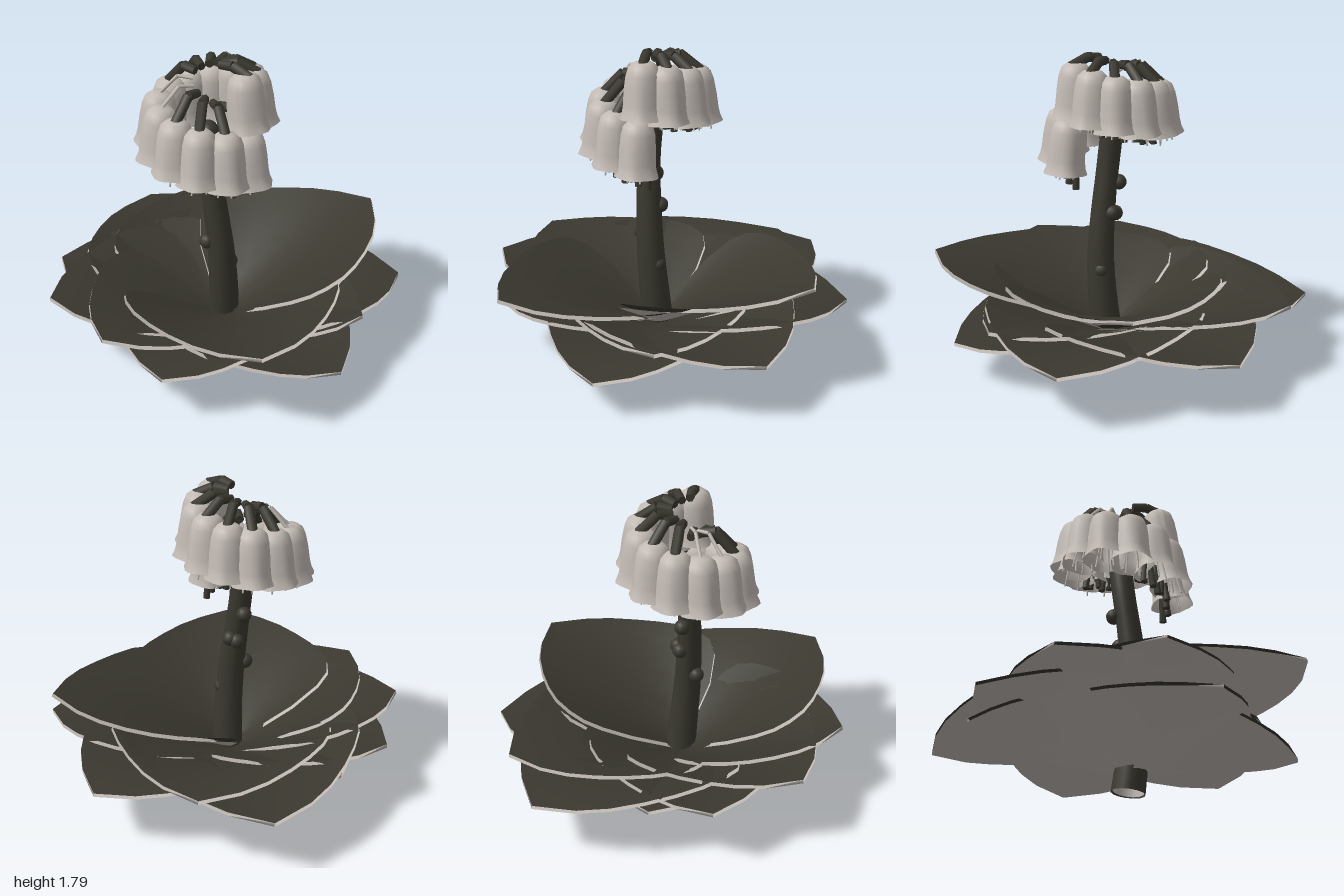
import * as THREE from 'three';

const dark = new THREE.MeshStandardMaterial({ color: 0x3a382f, side: THREE.DoubleSide });
dark.name = 'dark foliage';
const pale = new THREE.MeshStandardMaterial({ color: 0xc2bab4, side: THREE.DoubleSide });
pale.name = 'pale petal';

const V = (x, y, z) => new THREE.Vector3(x, y, z);

function add(parent, name, geometry, material, position) {
  const mesh = new THREE.Mesh(geometry, material);
  mesh.name = name;
  if (position) mesh.position.copy(position);
  parent.add(mesh);
  return mesh;
}

// straight rod between two points
function rod(parent, name, a, b, r0, r1, material, sides = 7) {
  const dir = b.clone().sub(a);
  const mesh = add(parent, name, new THREE.CylinderGeometry(r1, r0, dir.length(), sides), material,
    a.clone().add(b).multiplyScalar(0.5));
  mesh.quaternion.setFromUnitVectors(V(0, 1, 0), dir.normalize());
}

// leaf half-width along its length, both as fractions of the length
const OUTLINE = [[0, 0.04], [0.06, 0.36], [0.14, 0.51], [0.22, 0.57], [0.32, 0.575], [0.44, 0.55],
  [0.56, 0.49], [0.68, 0.41], [0.8, 0.31], [0.9, 0.19], [1, 0]];
const ACROSS = 10;

// Thin cone-shaped sheet with a drooping tip, pushed out below by offset.
// Level 0 is the lowest leaf, 1 the highest.
function leafGeometry(angle, length, level, offset) {
  const base = 0.105 + 0.055 * level, rise = 0.42 + 0.22 * level, sag = 0.31 - 0.15 * level;
  const c = Math.cos(angle), s = Math.sin(angle);
  const pos = [], index = [], row = ACROSS + 1;
  OUTLINE.forEach(([t, w], i) => {
    for (let j = 0; j <= ACROSS; j++) {
      const along = t * length, across = w * length * ((j / ACROSS) * 2 - 1);
      pos.push(0.07 + along * c + across * s,
        base + rise * Math.hypot(along, across) - sag * along * along,
        0.04 - along * s + across * c);
      if (i > 0 && j > 0) {
        const e = i * row + j, d = e - 1, b = e - row, a = b - 1;
        index.push(a, b, d, b, e, d);
      }
    }
  });
  const g = new THREE.BufferGeometry();
  g.setAttribute('position', new THREE.Float32BufferAttribute(pos, 3));
  g.setIndex(index);
  g.computeVertexNormals();
  const p = g.attributes.position, n = g.attributes.normal;
  for (let i = 0; i < p.count; i++) {
    p.setXYZ(i, p.getX(i) - n.getX(i) * offset, p.getY(i) - n.getY(i) * offset, p.getZ(i) - n.getZ(i) * offset);
  }
  return g;
}

// lobed bell hanging down from its own origin
function bellGeometry() {
  const profile = [[0.005, 0], [0.05, -0.004], [0.08, -0.03], [0.093, -0.075], [0.1, -0.15],
    [0.102, -0.23], [0.107, -0.27], [0.119, -0.305]].map(([r, y]) => new THREE.Vector2(r, y));
  const g = new THREE.LatheGeometry(profile.reverse(), 20);
  const p = g.attributes.position;
  for (let i = 0; i < p.count; i++) {
    const a = Math.atan2(p.getZ(i), p.getX(i));
    const k = 1 - 0.18 * p.getY(i) * Math.cos(5 * a);
    p.setXYZ(i, p.getX(i) * k, p.getY(i), p.getZ(i) * k);
  }
  g.computeVertexNormals();
  return g;
}

export function createModel() {
  const model = new THREE.Group();
  model.name = 'bellFlowerPlant';

  // curved, tapering stem, hollow and pale inside at the foot
  const path = new THREE.CatmullRomCurve3([V(0.062, 0.008, 0.03), V(0.095, 0.3, 0.045), V(0.1, 0.6, 0.07),
    V(0.07, 0.9, 0.09), V(0.035, 1.15, 0.1), V(0.015, 1.34, 0.09)]);
  const tube = new THREE.TubeGeometry(path, 24, 1, 14);
  const p = tube.attributes.position, q = new THREE.Vector3();
  for (let i = 0; i < p.count; i++) {
    const u = Math.floor(i / 15) / 24, centre = path.getPointAt(u);
    q.fromBufferAttribute(p, i).sub(centre).multiplyScalar(0.094 - 0.029 * Math.min(1, u * 1.3)).add(centre);
    p.setXYZ(i, q.x, q.y, q.z);
  }
  add(model, 'stem', tube, dark);
  const lining = add(model, 'stemLining', new THREE.CylinderGeometry(0.078, 0.086, 0.2, 14, 1, true), pale,
    V(0.075, 0.115, 0.035));
  lining.rotation.z = -0.12;
  add(model, 'stemTop', new THREE.SphereGeometry(0.062, 12, 8), dark, V(0.015, 1.34, 0.09));

  // round nodes on the stem
  [[-0.02, 1.02, 0.08], [0.045, 0.86, 0.03], [0.015, 0.848, 0.055], [0.055, 0.685, 0.14], [0.12, 0.53, 0.02]].forEach(
    ([x, y, z]) => add(model, 'stemNode', new THREE.SphereGeometry(0.044, 12, 8), dark, V(x, y, z)));

  // rosette leaves: angle in degrees, length, level
  [[73, 1.02, 1], [326, 1.02, 0.84], [274, 0.95, 0.66], [242, 0.99, 0.58], [211, 0.97, 0.42],
    [19, 0.86, 0.45], [138, 1.06, 0.5], [158, 1.15, 0.34], [190, 0.88, 0.27], [294, 0.88, 0.2],
    [52, 1.05, 0.31], [105, 1.08, 0.27], [-1, 0.92, 0]].forEach(([deg, length, level]) => {
    const leaf = new THREE.Group();
    leaf.name = 'leaf';
    const a = THREE.MathUtils.degToRad(deg);
    add(leaf, 'leafTop', leafGeometry(a, length, level, 0), dark);
    add(leaf, 'leafUnderside', leafGeometry(a, length, level, 0.02), pale);
    model.add(leaf);
  });

  // one descending turn of hanging bells
  const bell = bellGeometry();
  const COUNT = 13;
  for (let i = 0; i < COUNT; i++) {
    const k = i / (COUNT - 1);
    const flower = new THREE.Group();
    flower.name = 'flower';
    flower.position.set(0.015, 1.735 - 0.31 * k, 0.09);
    flower.rotation.y = THREE.MathUtils.degToRad(10 + 355 * k);
    model.add(flower);

    // bell with its stamens, tilted outward at the mouth
    const head = new THREE.Group();
    head.name = 'bellHead';
    head.position.set(0.23 + 0.04 * k, 0, 0);
    head.rotation.z = 0.1;
    flower.add(head);
    add(head, 'bell', bell, pale);
    for (let j = 0; j < 4; j++) {
      const a = j * 1.571 + i, x = Math.cos(a), z = Math.sin(a);
      rod(head, 'stamen', V(0.01 * x, -0.03, 0.01 * z), V(0.055 * x, -0.335 - 0.01 * (j % 3), 0.055 * z),
        0.005, 0.005, pale, 5);
    }
    // dark seed pods below the first and last bells
    if (i < 5 || i > 9) {
      const low = i > 9 ? -0.39 : -0.365;
      for (let j = 0; j < 3; j++) {
        const z = (j - 1) * 0.05;
        rod(head, 'pod', V(-0.04, -0.22, z * 0.7), V(-0.05 + 0.02 * (j % 2), low + 0.02 * j, z), 0.018, 0.02, dark);
      }
    }
    // bent stalk arching over to the bell; two are thin and pale
    const thin = i === 7 || i === 8;
    const r = thin ? 0.01 : 0.028, m = thin ? pale : dark;
    const lift = 0.02 + 0.08 * Math.min(1, 2 * k);
    const bend = V(0.16, lift, 0);
    rod(flower, 'stalkInner', V(0.08, lift - 0.01, 0), bend, r * 0.85, r, m);
    rod(flower, 'stalkOuter', bend, V(0.27, -0.02, 0), r, r, m);
  }
  return model;
}
